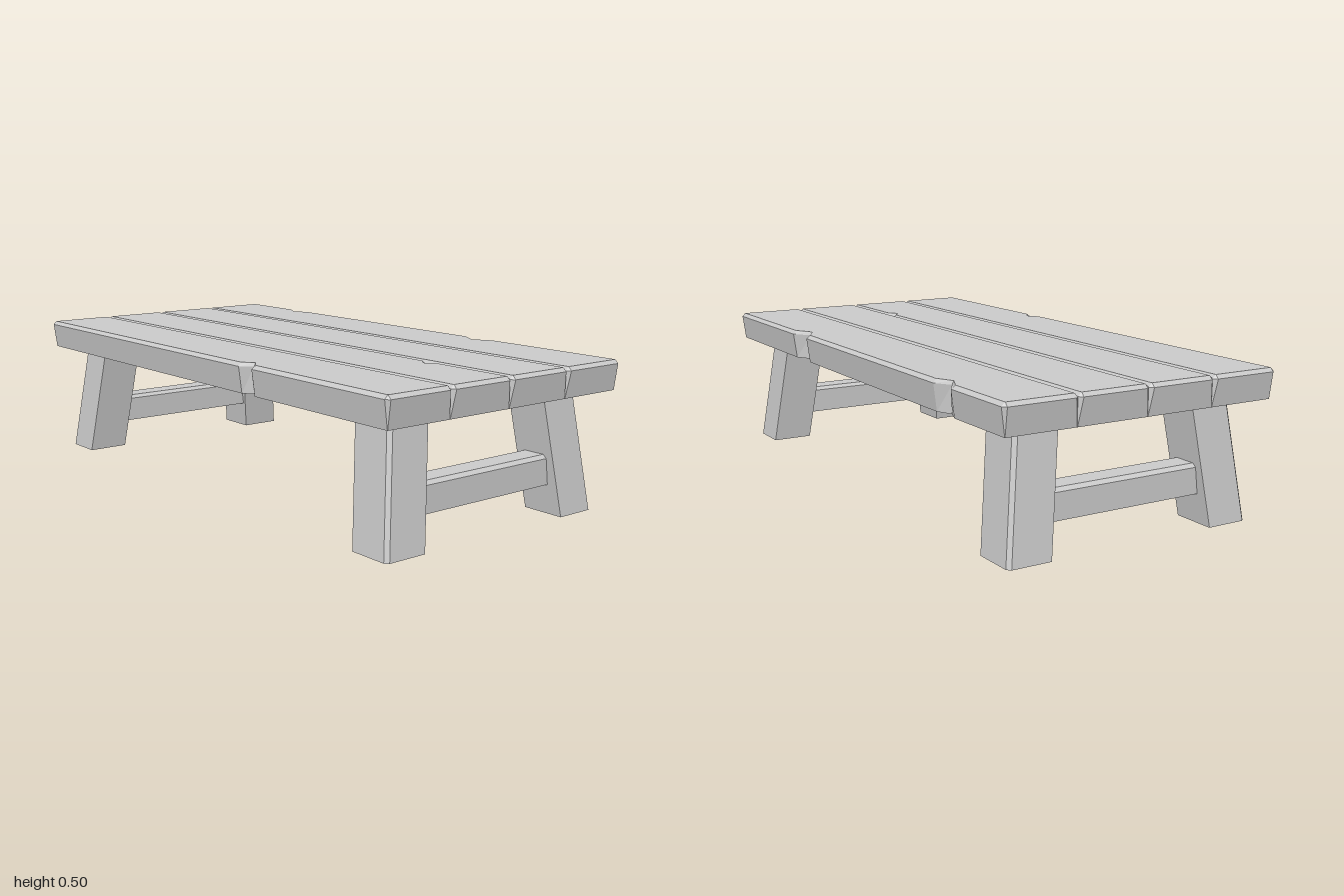
import * as THREE from 'three';

const material = new THREE.MeshStandardMaterial({ color: 0xcccccc, flatShading: true });

// Solid lofted through rings of [x, z] points at rising heights, capped at both ends.
// Rings run so that x turns towards -z (counter-clockwise seen from above).
function loft(name, rings, heights) {
  const n = rings[0].length, pos = [], index = [];
  rings.forEach((ring, r) => ring.forEach(([x, z]) => pos.push(x, heights[r], z)));
  for (let r = 0; r < rings.length - 1; r++) {
    for (let i = 0; i < n; i++) {
      const a = r * n + i, b = r * n + (i + 1) % n;
      index.push(a, b, b + n, a, b + n, a + n);
    }
  }
  const cap = (r, up) => {
    const pts = rings[r].map(([x, z]) => new THREE.Vector2(x, -z));
    for (const [a, b, c] of THREE.ShapeUtils.triangulateShape(pts, [])) {
      const o = r * n;
      if (up) index.push(o + a, o + b, o + c);
      else index.push(o + a, o + c, o + b);
    }
  };
  cap(0, false);
  cap(rings.length - 1, true);
  const indexed = new THREE.BufferGeometry();
  indexed.setAttribute('position', new THREE.Float32BufferAttribute(pos, 3));
  indexed.setIndex(index);
  const geometry = indexed.toNonIndexed();
  geometry.computeVertexNormals();
  const mesh = new THREE.Mesh(geometry, material);
  mesh.name = name;
  return mesh;
}

const BEVEL = 0.012;

// Plank outline: insets per side, corner clip, and V notches { side, z, half, depth }
function plankRing(x0, x1, notches, inL, inR, inZ, clip, grow) {
  const l = x0 + inL, r = x1 - inR, e = 1 - inZ, ring = [];
  const addNotches = (side, x, dir) => {
    const list = notches.filter(k => k.side === side).sort((a, b) => dir * (a.z - b.z));
    const base = side > 0 ? x1 : x0;
    for (const { z, half, depth } of list) {
      ring.push([x, z - dir * (half + grow)], [base - side * (depth + grow), z],
        [x, z + dir * (half + grow)]);
    }
  };
  ring.push([l + clip, e], [r - clip, e], [r, e - clip]);
  addNotches(1, r, -1);
  ring.push([r, -e + clip], [r - clip, -e], [l + clip, -e], [l, -e + clip]);
  addNotches(-1, l, 1);
  ring.push([l, e - clip]);
  return ring;
}

function plank(name, x0, x1, notches) {
  const outerL = x0 < -0.45 ? BEVEL : 0, outerR = x1 > 0.45 ? BEVEL : 0;
  const tiny = 0.0005;
  return loft(name, [
    plankRing(x0, x1, notches, outerL, outerR, BEVEL, tiny, 0),
    plankRing(x0, x1, notches, 0, 0, 0, BEVEL, 0),
    plankRing(x0, x1, notches, BEVEL, BEVEL, BEVEL, tiny, 0.006),
  ], [0.4, 0.488, 0.5]);
}

// Splayed leg with its outer corner chamfered; sx and sz choose the corner
function leg(name, sx, sz) {
  const ring = shift => {
    const a = 0.25 + shift, b = 0.40 + shift, c = 0.75 + shift, d = 0.90 + shift, k = 0.012;
    const pts = [[a, d], [b - k, d], [b, d - k], [b, c], [a, c]].map(([x, z]) => [x * sx, z * sz]);
    return sx * sz < 0 ? pts.reverse() : pts;
  };
  return loft(name, [ring(0.05), ring(0)], [0, 0.4]);
}

// Cross bar between two legs, its top edges bevelled
function stretcher(name, sz) {
  const ring = inset => [
    [-0.31, 0.9 - inset], [0.31, 0.9 - inset], [0.31, 0.8 + inset], [-0.31, 0.8 + inset],
  ];
  const mesh = loft(name, [ring(0), ring(0), ring(BEVEL)], [0.1, 0.188, 0.2]);
  if (sz < 0) mesh.rotation.y = Math.PI;
  return mesh;
}

export function createModel() {
  const model = new THREE.Group();
  model.name = 'plankTable';

  // Table top: four planks with worn notches
  const top = new THREE.Group();
  top.name = 'tableTop';
  const edges = [-0.5, -0.25, -0.005, 0.247, 0.5];
  const notches = [
    [{ side: -1, z: 0.335, half: 0.035, depth: 0.035 }],
    [{ side: 1, z: 0.66, half: 0.028, depth: 0.032 }],
    [],
    [{ side: 1, z: -0.665, half: 0.052, depth: 0.034 },
      { side: 1, z: 0.39, half: 0.06, depth: 0.044 }],
  ];
  notches.forEach((list, i) => top.add(plank('plank' + (i + 1), edges[i], edges[i + 1], list)));
  model.add(top);

  // Legs and cross bars at both ends
  for (const sz of [1, -1]) {
    const end = sz > 0 ? 'front' : 'back';
    model.add(leg(end + 'LeftLeg', 1, sz), leg(end + 'RightLeg', -1, sz));
    model.add(stretcher(end + 'Stretcher', sz));
  }
  return model;
}
